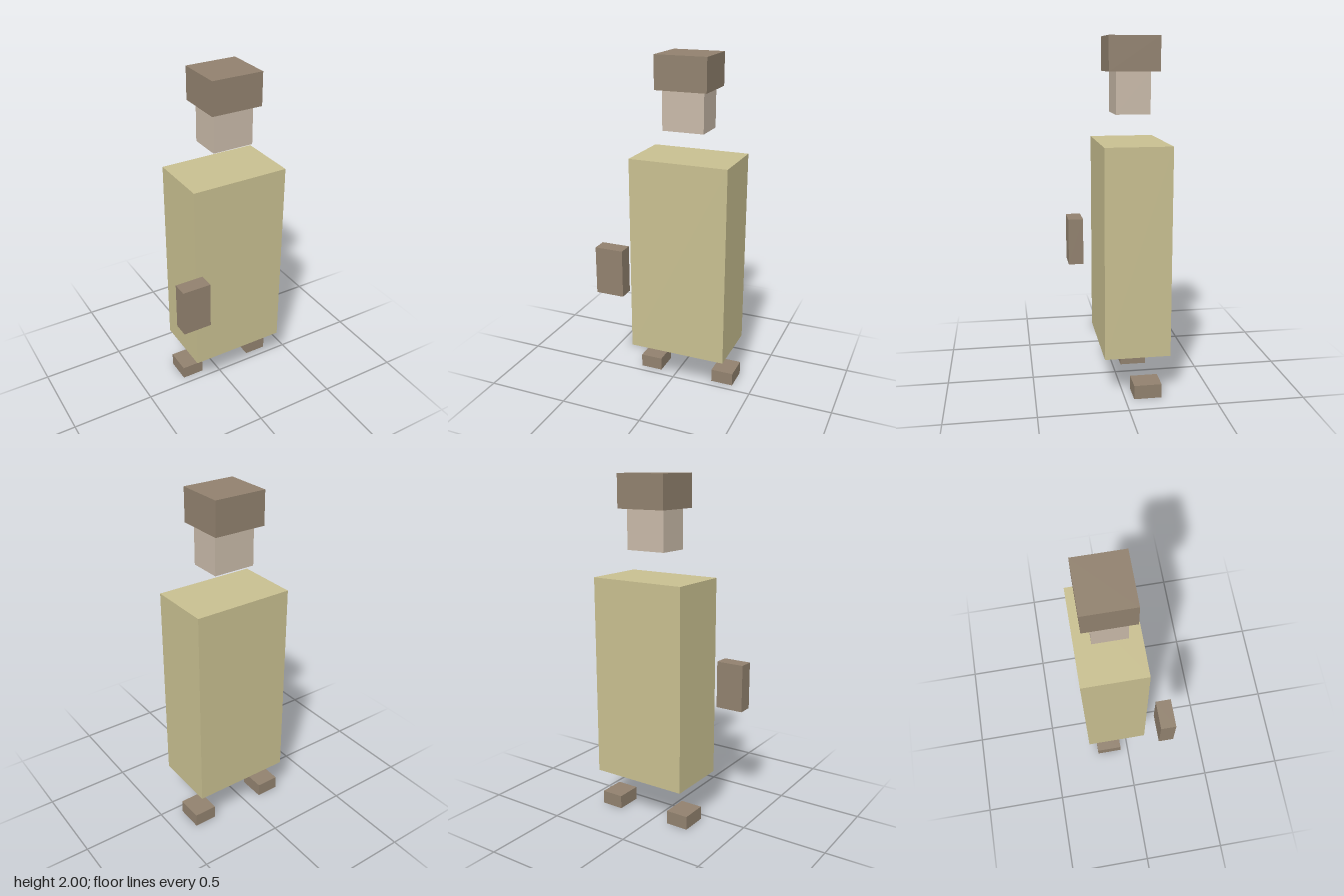
import * as THREE from 'three';

export function createModel() {
  const model = new THREE.Group();
  model.name = 'blockFigure';

  const material = (name, color) => {
    const m = new THREE.MeshStandardMaterial({ color });
    m.name = name;
    return m;
  };
  const brown = material('brown', 0x91816e);
  const skin = material('skin', 0xc8b9a8);
  const khaki = material('khaki', 0xc8bf90);

  // Axis-aligned block given by its extent along each axis
  const block = (name, mat, [x0, x1], [y0, y1], [z0, z1]) => {
    const mesh = new THREE.Mesh(new THREE.BoxGeometry(x1 - x0, y1 - y0, z1 - z0), mat);
    mesh.name = name;
    mesh.position.set((x0 + x1) / 2, (y0 + y1) / 2, (z0 + z1) / 2);
    model.add(mesh);
  };

  // Head and the wider block of hair on top
  block('hair', brown, [-0.083, 0.221], [1.81, 2], [-0.213, 0.069]);
  block('head', skin, [-0.053, 0.192], [1.581, 1.81], [-0.165, 0.027]);

  // Long robe
  block('body', khaki, [-0.223, 0.363], [0.243, 1.424], [-0.258, 0.114]);

  // Item floating by the right hand
  block('heldItem', brown, [-0.376, -0.207], [0.635, 0.918], [0.166, 0.256]);

  // Feet, mirrored about the body's centre line
  const centre = 0.069;
  for (const [name, side] of [['rightFoot', -1], ['leftFoot', 1]]) {
    const x = centre + side * 0.238;
    block(name, brown, [x - 0.068, x + 0.068], [0, 0.08], [-0.207, -0.05]);
  }

  return model;
}
